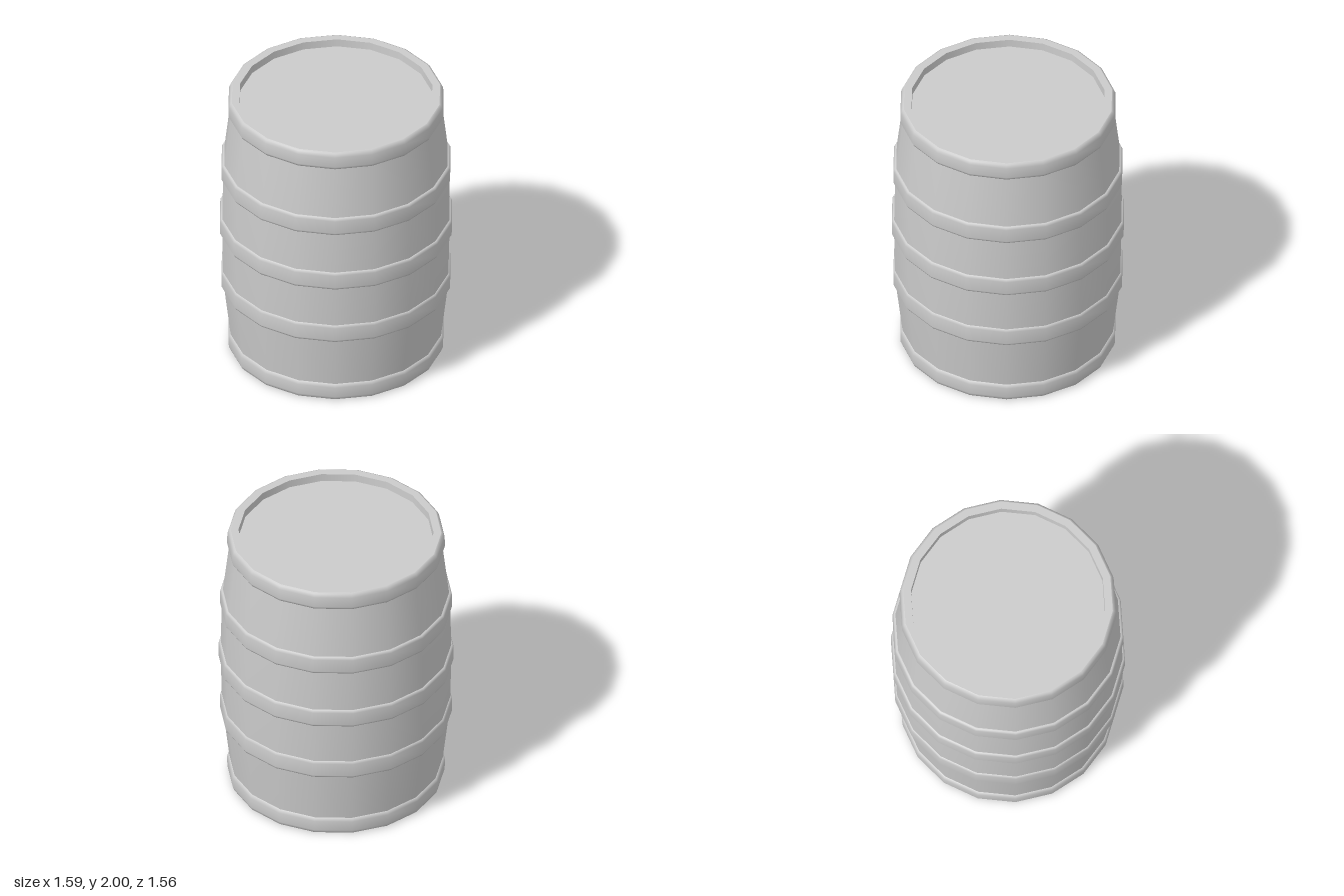
import * as THREE from 'three';

const SIDES = 18;
const material = new THREE.MeshStandardMaterial({ color: 0xcccccc });

// Revolve [radius, y] points; the start angle puts a corner on the x axis
function turned(name, points) {
  const profile = points.map(([r, y]) => new THREE.Vector2(r, y));
  const mesh = new THREE.Mesh(new THREE.LatheGeometry(profile, SIDES, Math.PI / SIDES), material);
  mesh.name = name;
  return mesh;
}

// Profile flipped about mid height, kept facing outward
const flipped = (points) => points.map(([r, y]) => [r, 2 - y]).reverse();

export function createModel() {
  const barrel = new THREE.Group();
  barrel.name = 'barrel';

  // Bulging staves
  barrel.add(turned('body', [
    [0.713, 0.06], [0.72, 0.13], [0.764, 0.51], [0.77, 0.63], [0.777, 0.94],
    [0.777, 1.06], [0.77, 1.37], [0.764, 1.49], [0.72, 1.87], [0.713, 1.94],
  ]));

  // Middle hoops with bevelled edges
  const hoops = [['lowerHoop', 0.57, 0.782], ['middleHoop', 1.003, 0.793], ['upperHoop', 1.437, 0.782]];
  for (const [name, y, r] of hoops) {
    const h = 0.066;
    barrel.add(turned(name, [
      [r - 0.03, y - h], [r - 0.01, y - h], [r, y - h + 0.018],
      [r, y + h - 0.018], [r - 0.01, y + h], [r - 0.03, y + h],
    ]));
  }

  // End hoop, rim, recess wall and lid, repeated at the bottom
  const endParts = {
    Hoop: [[0.70, 1.872], [0.722, 1.872], [0.735, 1.895], [0.732, 1.97], [0.722, 1.994], [0.71, 2]],
    Rim: [[0.71, 2], [0.658, 2]],
    RecessWall: [[0.658, 2], [0.656, 1.945]],
    Lid: [[0.656, 1.945], [0, 1.945]],
  };
  for (const [part, points] of Object.entries(endParts)) {
    barrel.add(turned('top' + part, points));
    barrel.add(turned('bottom' + part, flipped(points)));
  }

  return barrel;
}
